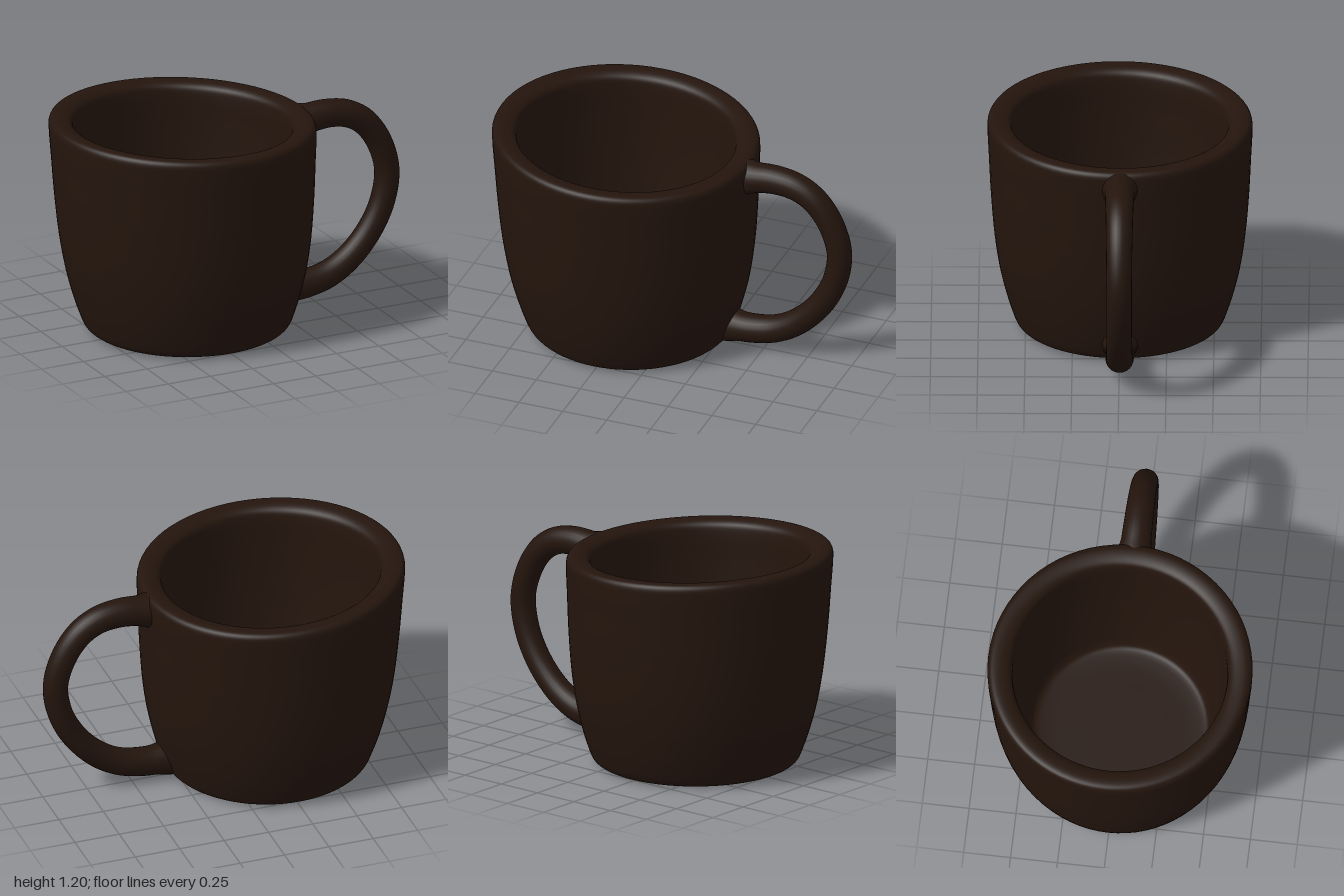
import * as THREE from 'three';

const material = new THREE.MeshStandardMaterial({ color: 0x24150d });

// Thick-walled cup: one closed profile, leaned and tilted slightly like hand-made pottery
function createCup() {
  const profile = [
    [0, 0.005], [0.25, 0.005], [0.48, 0.008], [0.522, 0.015], [0.548, 0.035], [0.575, 0.1],
    [0.606, 0.2], [0.639, 0.34], [0.666, 0.52], [0.685, 0.75], [0.695, 0.95], [0.702, 1.1],
    [0.7, 1.145], [0.687, 1.164], [0.66, 1.171], [0.61, 1.163], [0.582, 1.143], [0.572, 1.1],
    [0.567, 0.95], [0.553, 0.7], [0.522, 0.4], [0.495, 0.23], [0.482, 0.165], [0.462, 0.132],
    [0.42, 0.122], [0.2, 0.12], [0, 0.12],
  ].map(([r, y]) => new THREE.Vector3(r, y, 0));
  const curve = new THREE.CatmullRomCurve3(profile, false, 'centripetal');
  const points = curve.getPoints(104).map((p) => new THREE.Vector2(Math.max(p.x, 0), p.y));
  const geometry = new THREE.LatheGeometry(points, 72);

  const pos = geometry.attributes.position;
  for (let i = 0; i < pos.count; i++) {
    const x = pos.getX(i), y = pos.getY(i), z = pos.getZ(i);
    const t = y / 1.172;
    pos.setXYZ(i, x * (1 + 0.015 * t) - 0.257 - 0.029 * t, y + t * (0.007 * z - 0.046 * x), z);
  }
  return new THREE.Mesh(geometry, material);
}

// Looped handle: a tube that thickens toward both joints and flares into the wall
function createHandle() {
  const path = new THREE.CatmullRomCurve3([
    [0.35, 1.036], [0.44, 1.045], [0.57, 1.055], [0.69, 1.035], [0.79, 0.975], [0.878, 0.855],
    [0.929, 0.685], [0.905, 0.51], [0.825, 0.35], [0.7, 0.215], [0.57, 0.14], [0.43, 0.112],
    [0.34, 0.112], [0.25, 0.118],
  ].map(([x, y]) => new THREE.Vector3(x, y, 0)), false, 'centripetal');
  const rings = 96, sides = 24;
  const geometry = new THREE.TubeGeometry(path, rings, 1, sides);

  const pos = geometry.attributes.position;
  const v = new THREE.Vector3();
  for (let i = 0; i <= rings; i++) {
    const u = i / rings;
    const centre = path.getPointAt(u);
    const end = Math.abs(2 * u - 1);
    const radius = 0.067 + 0.018 * end ** 2 + 0.016 * THREE.MathUtils.smoothstep(end, 0.85, 0.96);
    for (let j = 0; j <= sides; j++) {
      const k = i * (sides + 1) + j;
      v.fromBufferAttribute(pos, k).sub(centre).multiplyScalar(radius).add(centre);
      pos.setXYZ(k, v.x, v.y, v.z - 0.003);
    }
  }
  return new THREE.Mesh(geometry, material);
}

export function createModel() {
  const mug = new THREE.Group();
  mug.name = 'mug';
  const cup = createCup();
  cup.name = 'cup';
  const handle = createHandle();
  handle.name = 'handle';
  mug.add(cup, handle);
  return mug;
}
